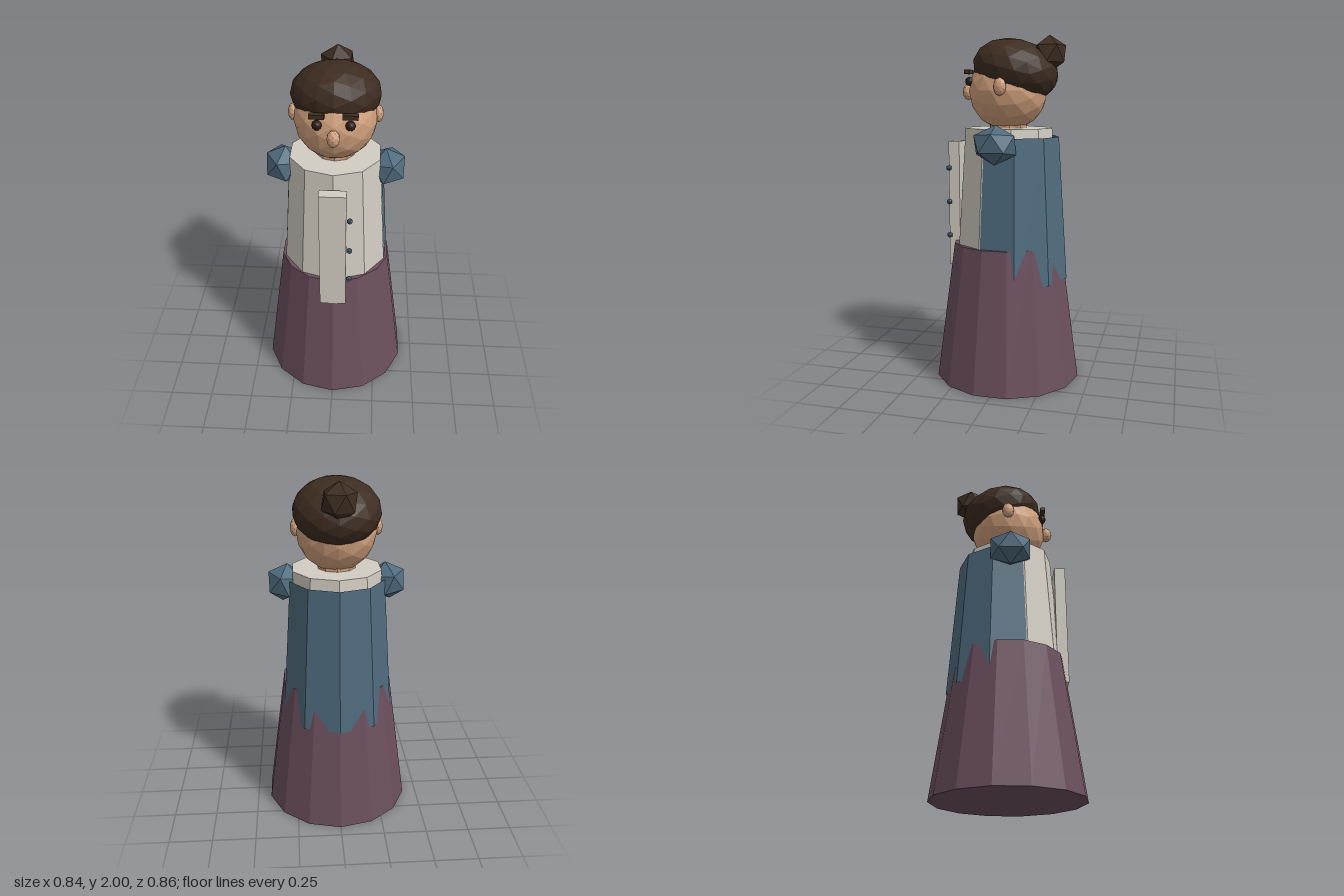
import * as THREE from 'three';

export function createModel() {
  const model = new THREE.Group();
  model.name = 'woman';

  const mat = (name, color, side = THREE.FrontSide) => {
    const m = new THREE.MeshStandardMaterial({ color, side, flatShading: true });
    m.name = name;
    return m;
  };
  const skirtMat = mat('plum', 0x6b4f5d);
  const linen = mat('linen', 0xd2cdc2);
  const blue = mat('slate blue', 0x4f6b7e, THREE.DoubleSide);
  const skin = mat('skin', 0xd0a07c);
  const hairMat = mat('dark brown', 0x3d2c20);
  const eyeMat = mat('eye brown', 0x2b1b13);

  const add = (name, geometry, material, x = 0, y = 0, z = 0) => {
    const mesh = new THREE.Mesh(geometry, material);
    mesh.name = name;
    mesh.position.set(x, y, z);
    model.add(mesh);
    return mesh;
  };
  const ball = (r, detail = 0) => new THREE.IcosahedronGeometry(r, detail);

  // Clothing
  add('skirt', new THREE.CylinderGeometry(0.32, 0.43, 0.81, 14), skirtMat, 0, 0.405, 0);
  add('blouse', new THREE.CylinderGeometry(0.26, 0.307, 0.68, 10), linen, 0, 1.14, 0);
  const cape = add('cape',
    new THREE.CylinderGeometry(0.27, 0.325, 0.83, 6, 1, true, Math.PI * 0.375, Math.PI * 1.25),
    blue, 0, 1.015, -0.03);
  cape.scale.x = 1.015;
  add('placket', new THREE.BoxGeometry(0.148, 0.74, 0.065), linen, 0, 1.03, 0.31);
  for (const y of [0.845, 1.045, 1.245]) add('button', ball(0.018), blue, 0.093, y, 0.335);

  // Head and neck
  add('neck', new THREE.CylinderGeometry(0.11, 0.11, 0.12, 10), skin, 0, 1.51, 0);
  add('head', ball(0.226, 2), skin, 0, 1.69, 0);
  add('nose', ball(0.035, 1), skin, 0, 1.685, 0.24).scale.y = 1.35;

  // Hair cap tipped backwards, with a bun
  const hair = add('hair', ball(1, 2), hairMat, 0, 1.808, -0.045);
  hair.scale.set(0.245, 0.175, 0.25);
  hair.rotation.x = -0.25;
  add('bun', ball(0.105), hairMat, 0, 1.895, -0.24).rotation.z = 0.5536;

  // Mirrored parts
  for (const s of [1, -1]) {
    const puff = add('shoulderPuff', ball(0.11), blue, s * 0.292, 1.396, 0);
    puff.rotation.z = -s * 0.42;
    puff.scale.z = 1.22;
    const ear = add('ear', ball(0.04, 1), skin, s * 0.228, 1.71, -0.01);
    ear.scale.set(0.7, 1.25, 0.9);
    add('eye', ball(0.027, 1), eyeMat, s * 0.086, 1.743, 0.205);
    add('eyebrow', new THREE.BoxGeometry(0.08, 0.024, 0.03), hairMat, s * 0.086, 1.797, 0.212);
  }
  return model;
}
